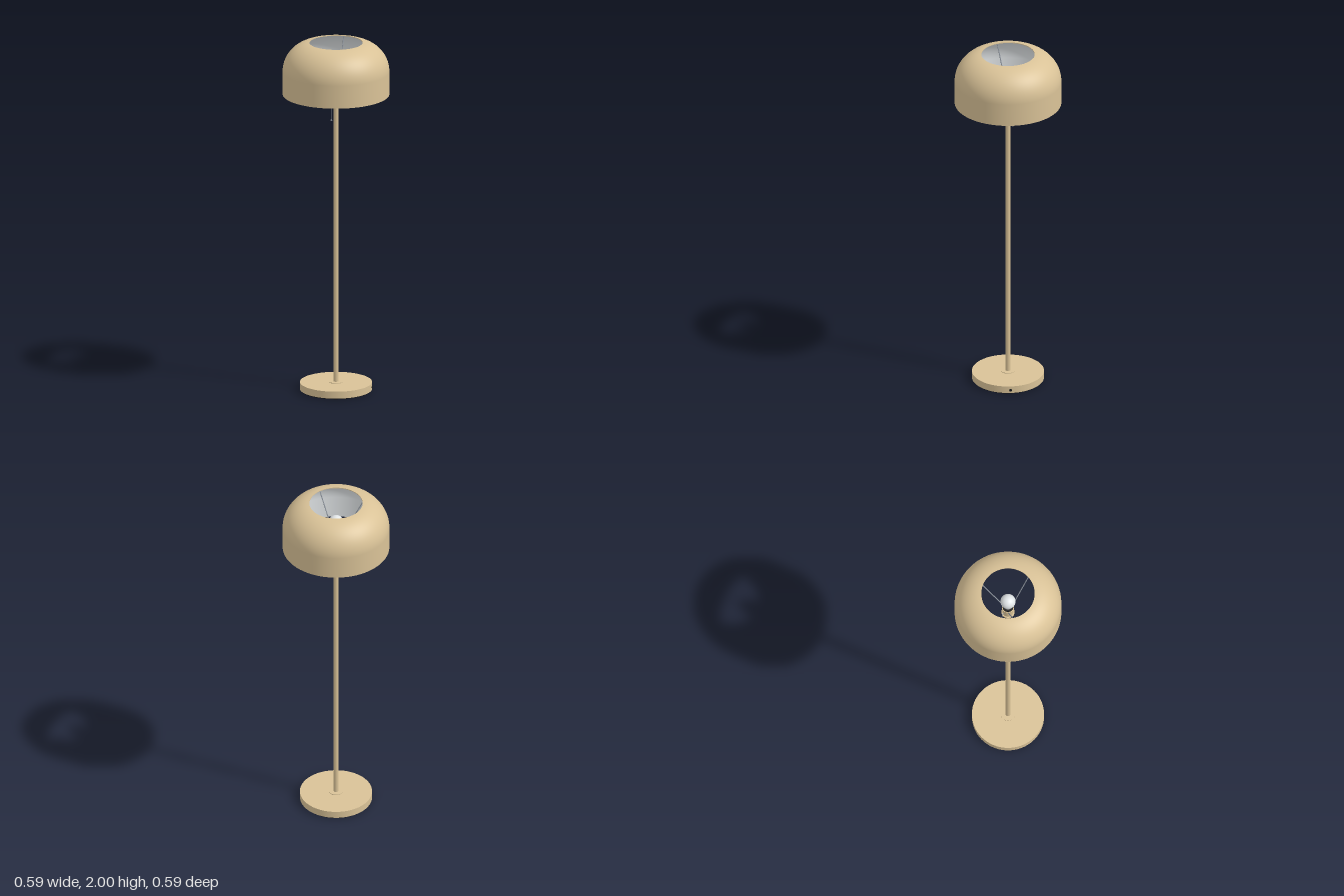
import * as THREE from 'three';

const mat = (name, color, side = THREE.FrontSide) => {
  const m = new THREE.MeshStandardMaterial({ color, side });
  m.name = name;
  return m;
};

export function createModel() {
  const lamp = new THREE.Group();
  lamp.name = 'floorLamp';

  const sand = mat('sand', 0xd9c297);
  const white = mat('white', 0xe4e8ea);
  const steel = mat('steel', 0x8d949d);
  const black = mat('black', 0x1a1a1a);

  const add = (name, geometry, material, parent = lamp) => {
    const mesh = new THREE.Mesh(geometry, material);
    mesh.name = name;
    parent.add(mesh);
    return mesh;
  };
  const lathe = (points, segments = 64) =>
    new THREE.LatheGeometry(points.map(([r, y]) => new THREE.Vector2(r, y)), segments);
  // Upright cylinder between two heights
  const column = (name, rTop, rBottom, y0, y1, material, segments = 48) => {
    const m = add(name, new THREE.CylinderGeometry(rTop, rBottom, y1 - y0, segments), material);
    m.position.y = (y0 + y1) / 2;
    return m;
  };
  // Straight rod between two points
  const rod = (name, a, b, radius, material, parent = lamp) => {
    const dir = b.clone().sub(a);
    const m = add(name, new THREE.CylinderGeometry(radius, radius, dir.length(), 8), material, parent);
    m.position.copy(a).add(b).multiplyScalar(0.5);
    m.quaternion.setFromUnitVectors(new THREE.Vector3(0, 1, 0), dir.normalize());
    return m;
  };

  // Base with dark foot pad and pole collar
  column('footPad', 0.195, 0.195, 0, 0.006, black, 64);
  column('base', 0.2, 0.2, 0.005, 0.045, sand, 64);
  column('poleCollar', 0.04, 0.04, 0.045, 0.049, sand);
  const outlet = add('cordOutlet', new THREE.CylinderGeometry(0.008, 0.008, 0.006, 16), black);
  outlet.position.set(0.142, 0.022, -0.14);
  outlet.quaternion.setFromUnitVectors(new THREE.Vector3(0, 1, 0),
    new THREE.Vector3(0.142, 0, -0.14).normalize());

  // Pole and lamp socket
  column('pole', 0.0145, 0.0145, 0.045, 1.7, sand, 32);
  column('socketFlange', 0.036, 0.036, 1.69, 1.702, sand);
  column('socket', 0.034, 0.03, 1.702, 1.78, sand);
  column('socketRing', 0.03, 0.03, 1.78, 1.792, black);

  // Bulb: tapering neck flowing into a globe
  const bulb = [[0.02, 1.79], [0.022, 1.805], [0.029, 1.83]];
  for (let i = 0; i <= 16; i++) {
    const a = -0.5 + (Math.PI / 2 + 0.5) * i / 16;
    bulb.push([Math.max(0.042 * Math.cos(a), 0), 1.868 + 0.042 * Math.sin(a)]);
  }
  add('bulb', lathe(bulb, 40), white);

  // Dome shade: straight skirt, rounded shoulder, open top
  const dome = (inset) => {
    const pts = [[0.296 - inset, 1.703]];
    const end = Math.acos((0.148 - 0.128) / 0.168);
    for (let i = 0; i <= 20; i++) {
      const a = end * i / 20;
      pts.push([0.128 + (0.168 - inset) * Math.cos(a), 1.833 + (0.168 - inset) * Math.sin(a)]);
    }
    return pts;
  };
  const outer = dome(0), inner = dome(0.004);
  const shade = new THREE.Group();
  shade.name = 'shade';
  lamp.add(shade);
  add('shadeOuter', lathe(outer, 72), sand, shade);
  add('shadeInner', lathe([...inner].reverse(), 72), white, shade);
  add('shadeBottomRim', lathe([inner[0], outer[0]], 72), sand, shade);
  add('shadeTopRim', lathe([outer[21], inner[21]], 72), sand, shade);

  // Three struts rising from the socket to the top opening
  const struts = new THREE.Group();
  struts.name = 'shadeStruts';
  lamp.add(struts);
  for (let i = 0; i < 3; i++) {
    const turn = i * Math.PI * 2 / 3;
    const up = new THREE.Vector3(0, 1, 0);
    const a = new THREE.Vector3(0.03, 1.77, 0.003).applyAxisAngle(up, turn);
    const b = new THREE.Vector3(0.148, 1.993, -0.009).applyAxisAngle(up, turn);
    rod('strut', a, b, 0.003, steel, struts);
  }

  // Pull chain with end bead
  rod('chainArm', new THREE.Vector3(-0.028, 1.725, 0), new THREE.Vector3(-0.041, 1.725, 0), 0.003, steel);
  rod('pullChain', new THREE.Vector3(-0.04, 1.54, 0), new THREE.Vector3(-0.04, 1.726, 0), 0.0018, steel);
  add('chainBead', new THREE.SphereGeometry(0.005, 16, 12), steel).position.set(-0.04, 1.543, 0);

  return lamp;
}
